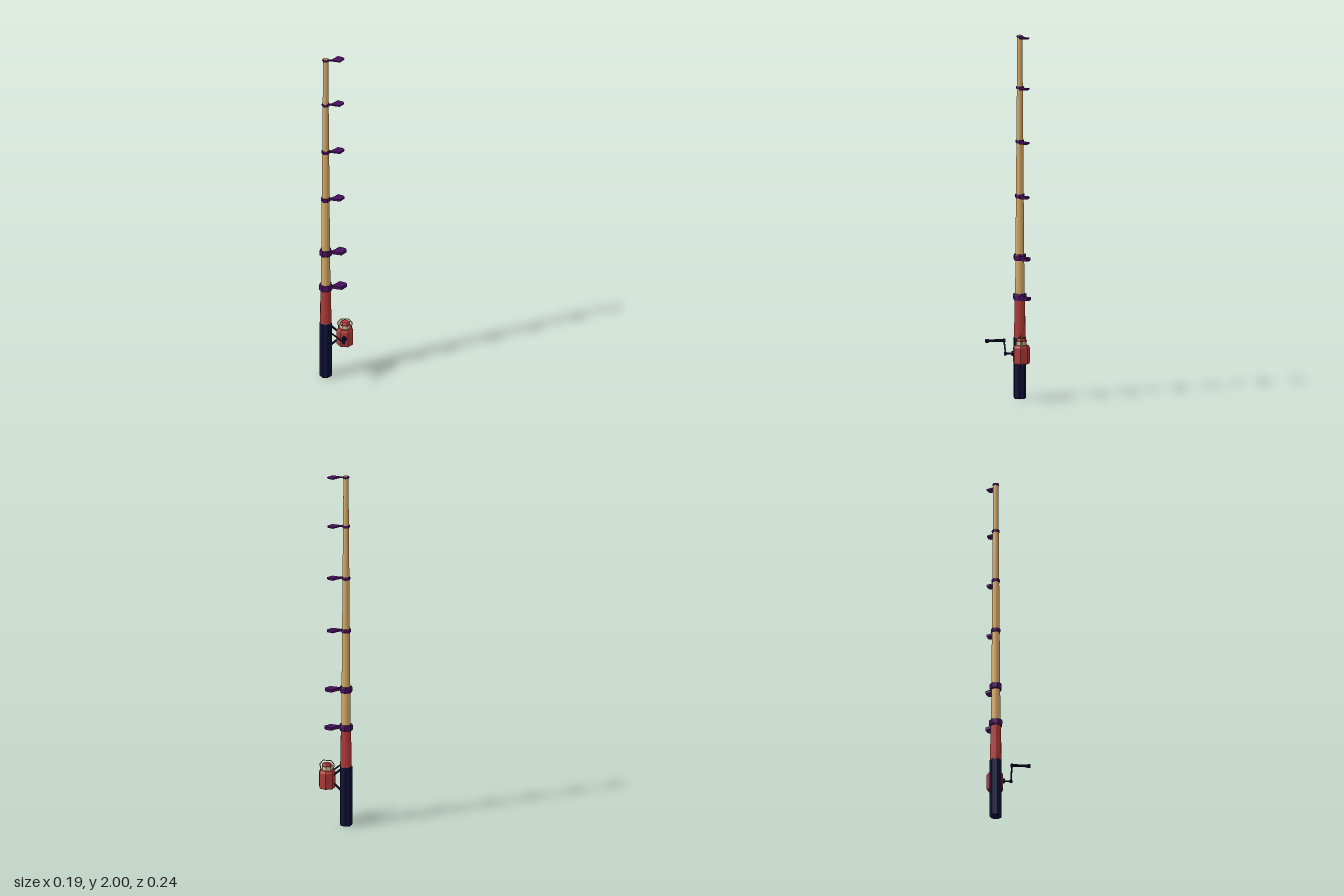
import * as THREE from 'three';

const mat = (name, color) => {
  const m = new THREE.MeshStandardMaterial({ color, flatShading: true });
  m.name = name;
  return m;
};

export function createModel() {
  const navy = mat('navy grip', 0x10103a);
  const red = mat('red', 0xb03a38);
  const tan = mat('tan wood', 0xd6aa68);
  const purple = mat('purple', 0x48105f);
  const cream = mat('cream line', 0xd0c49c);
  const brass = mat('brass wire', 0xa3965c);

  const model = new THREE.Group();
  model.name = 'fishingRod';
  const add = (parent, name, geometry, material, x = 0, y = 0, z = 0) => {
    const mesh = new THREE.Mesh(geometry, material);
    mesh.name = name;
    mesh.position.set(x, y, z);
    parent.add(mesh);
    return mesh;
  };

  // Turned part from [radius, height] pairs, one corner pointing backwards
  const turned = (profile, sides = 7) => new THREE.LatheGeometry(
    profile.map(([r, y]) => new THREE.Vector2(r, y)), sides, Math.PI);

  // Straight bar between two points
  const bar = (parent, name, a, b, radius, material, sides = 7) => {
    const from = new THREE.Vector3(...a), to = new THREE.Vector3(...b);
    const dir = to.clone().sub(from);
    const mesh = add(parent, name, new THREE.CylinderGeometry(radius, radius, dir.length(), sides), material);
    mesh.position.copy(from).add(to).multiplyScalar(0.5);
    mesh.quaternion.setFromUnitVectors(new THREE.Vector3(0, 1, 0), dir.normalize());
    return mesh;
  };

  // Rod: grip, foregrip and tapering blank
  const rod = new THREE.Group();
  rod.name = 'rod';
  rod.position.set(-0.058, 0, -0.07);
  model.add(rod);
  add(rod, 'grip', turned([[0, 0], [0.032, 0], [0.035, 0.006], [0.035, 0.335], [0.032, 0.34], [0, 0.34]]), navy);
  add(rod, 'foregrip', turned([[0.032, 0.335], [0.028, 0.55], [0, 0.55]], 12), red);
  add(rod, 'blank', turned([[0.026, 0.54], [0.014, 1.995], [0.011, 2], [0, 2]], 16), tan);

  // Line guides: a collar with a side paddle, smaller toward the tip
  const outline = [[0, -0.006], [0.036, -0.004], [0.05, -0.008], [0.09, -0.015], [0.115, 0.022],
    [0.108, 0.038], [0.073, 0.052], [0.055, 0.028], [0.036, 0.008], [0, 0.008]];
  const paddleShape = new THREE.Shape(outline.map(([x, y]) => new THREE.Vector2(x, y)));
  const guides = [ // height, collar radius, collar height, paddle scale, paddle thickness
    [0.56, 0.038, 0.034, 1, 0.016],
    [0.778, 0.035, 0.034, 0.98, 0.016],
    [1.115, 0.027, 0.022, 0.88, 0.012],
    [1.415, 0.024, 0.018, 0.87, 0.01],
    [1.712, 0.022, 0.014, 0.86, 0.008],
    [1.992, 0.019, 0.01, 0.87, 0.006],
  ];
  for (const [y, r, h, s, t] of guides) {
    const guide = new THREE.Group();
    guide.name = 'lineGuide';
    guide.position.y = y;
    rod.add(guide);
    add(guide, 'collar', turned([[0, -h / 2], [r * 0.93, -h / 2], [r, -h * 0.3], [r, h * 0.3], [r * 0.93, h / 2], [0, h / 2]]), purple);
    const paddle = new THREE.ExtrudeGeometry(paddleShape, { depth: t, bevelEnabled: false });
    paddle.translate(0, 0, -t / 2).rotateX(-Math.PI / 2).scale(s, 1, s);
    add(guide, 'paddle', paddle, purple);
  }

  // Reel: body, spool, cap and wire bail
  const reel = new THREE.Group();
  reel.name = 'reel';
  reel.position.set(0.0475, 0, -0.066);
  model.add(reel);
  add(reel, 'reelBody', turned([[0, 0.207], [0.043, 0.207], [0.047, 0.215], [0.047, 0.296], [0.038, 0.31], [0, 0.31]]), red);
  add(reel, 'spool', turned([[0.029, 0.305], [0.029, 0.332], [0, 0.332]]), cream);
  add(reel, 'spoolCap', turned([[0, 0.33], [0.031, 0.33], [0.031, 0.337], [0.02, 0.347], [0, 0.347]]), red);
  const bail = [[-0.033, 0.305], [-0.04, 0.34], [-0.022, 0.362], [0.022, 0.362], [0.04, 0.34], [0.033, 0.305]];
  for (let i = 1; i < bail.length; i++) {
    bar(reel, 'bailWire', [...bail[i - 1], 0], [...bail[i], 0], 0.0028, brass, 5);
  }

  // Struts joining the reel to the grip
  bar(model, 'lowerStrut', [-0.04, 0.185, -0.068], [0.025, 0.25, -0.066], 0.006, navy);
  bar(model, 'upperStrut', [-0.04, 0.325, -0.068], [0.025, 0.27, -0.066], 0.006, navy);

  // Crank: axle, slanted arm and handle with knob
  const crank = new THREE.Group();
  crank.name = 'crank';
  model.add(crank);
  const hub = [0.0475, 0.264], end = [-0.027, 0.325];
  bar(crank, 'axleCollar', [...hub, -0.03], [...hub, -0.014], 0.014, navy);
  bar(crank, 'axle', [...hub, -0.02], [...hub, 0.02], 0.005, navy);
  bar(crank, 'axleJoint', [...hub, 0.013], [...hub, 0.028], 0.009, navy);
  bar(crank, 'arm', [...hub, 0.02], [...end, 0.02], 0.0045, navy);
  bar(crank, 'handleJoint', [...end, 0.014], [...end, 0.026], 0.011, navy);
  bar(crank, 'handle', [...end, 0.02], [...end, 0.11], 0.008, navy);
  bar(crank, 'knob', [...end, 0.104], [...end, 0.122], 0.011, navy);

  return model;
}
